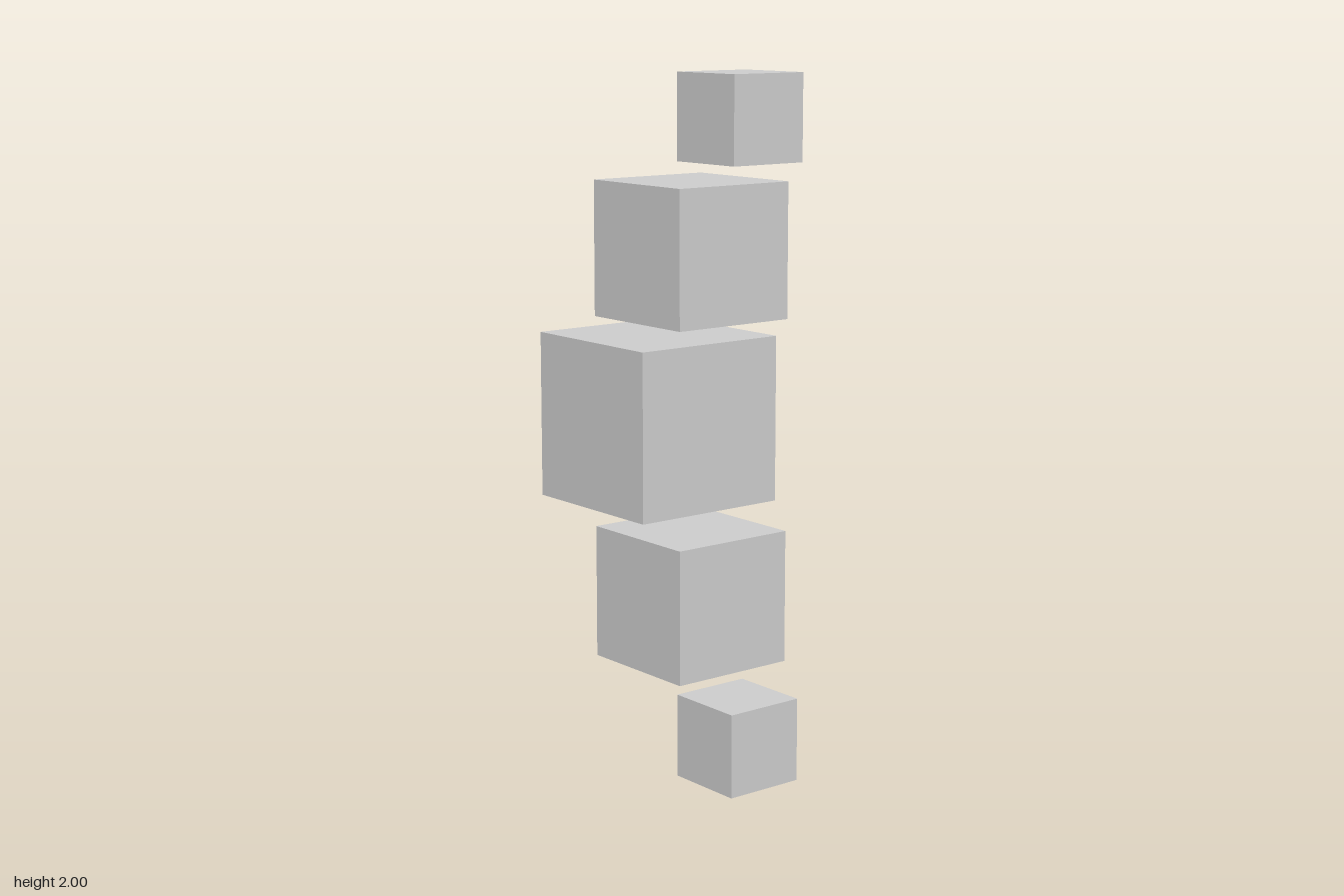
import * as THREE from 'three';

// A bowed stack of five separate cubes, mirrored about mid height
export function createModel() {
  const model = new THREE.Group();
  const material = new THREE.MeshStandardMaterial({ color: 0xcccccc, flatShading: true });

  const addCube = (name, size, x, y) => {
    const cube = new THREE.Mesh(new THREE.BoxGeometry(size, size, size), material);
    cube.name = name;
    cube.position.set(x, y, 0);
    model.add(cube);
  };

  // Large centre cube
  addCube('centreCube', 0.484, -0.121, 1);

  // Medium and small cubes, above and below the centre
  for (const [side, label] of [[1, 'upper'], [-1, 'lower']]) {
    addCube(label + 'MiddleCube', 0.387, 0.03, 1 + side * 0.5);
    addCube(label + 'EndCube', 0.242, 0.242, 1 + side * 0.879);
  }
  return model;
}
